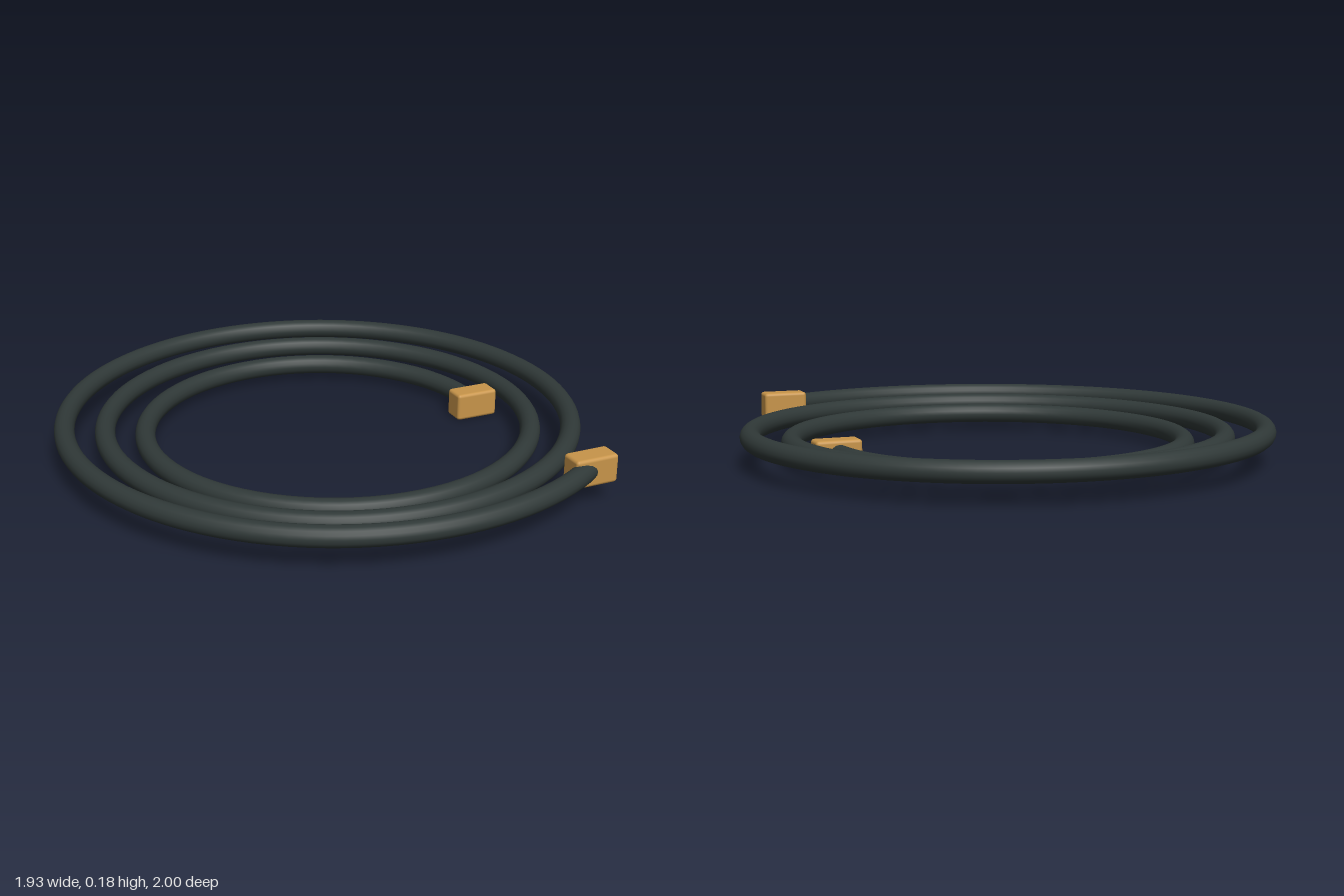
import * as THREE from 'three';
import { RoundedBoxGeometry } from 'three/addons/geometries/RoundedBoxGeometry.js';

const TURNS = 2.85;
const CENTRE = { x: 0.03, z: -0.038 };

// Flat spiral that widens and rises slightly as it winds outwards
class SpiralCurve extends THREE.Curve {
  getPoint(t, target = new THREE.Vector3()) {
    const angle = t * TURNS * Math.PI * 2;
    const radius = 0.605 + 0.143 * TURNS * t;
    return target.set(
      CENTRE.x + radius * Math.cos(angle),
      0.052 + 0.073 * t,
      CENTRE.z - radius * Math.sin(angle)
    );
  }
}

export function createModel() {
  const group = new THREE.Group();
  group.name = 'coiledCable';

  const rubber = new THREE.MeshStandardMaterial({ color: 0x303938 });
  rubber.name = 'darkRubber';
  const brass = new THREE.MeshStandardMaterial({ color: 0xc8954a });
  brass.name = 'brass';

  // Cable
  const path = new SpiralCurve();
  const cable = new THREE.Mesh(new THREE.TubeGeometry(path, 260, 0.0365, 16, false), rubber);
  cable.name = 'cable';
  group.add(cable);

  // Connector block on each end of the cable
  const blockGeometry = new RoundedBoxGeometry(0.165, 0.103, 0.086, 2, 0.012);
  [['innerConnector', 0], ['outerConnector', 1]].forEach(([name, t]) => {
    const block = new THREE.Mesh(blockGeometry, brass);
    block.name = name;
    block.position.copy(path.getPoint(t));
    group.add(block);
  });

  return group;
}
